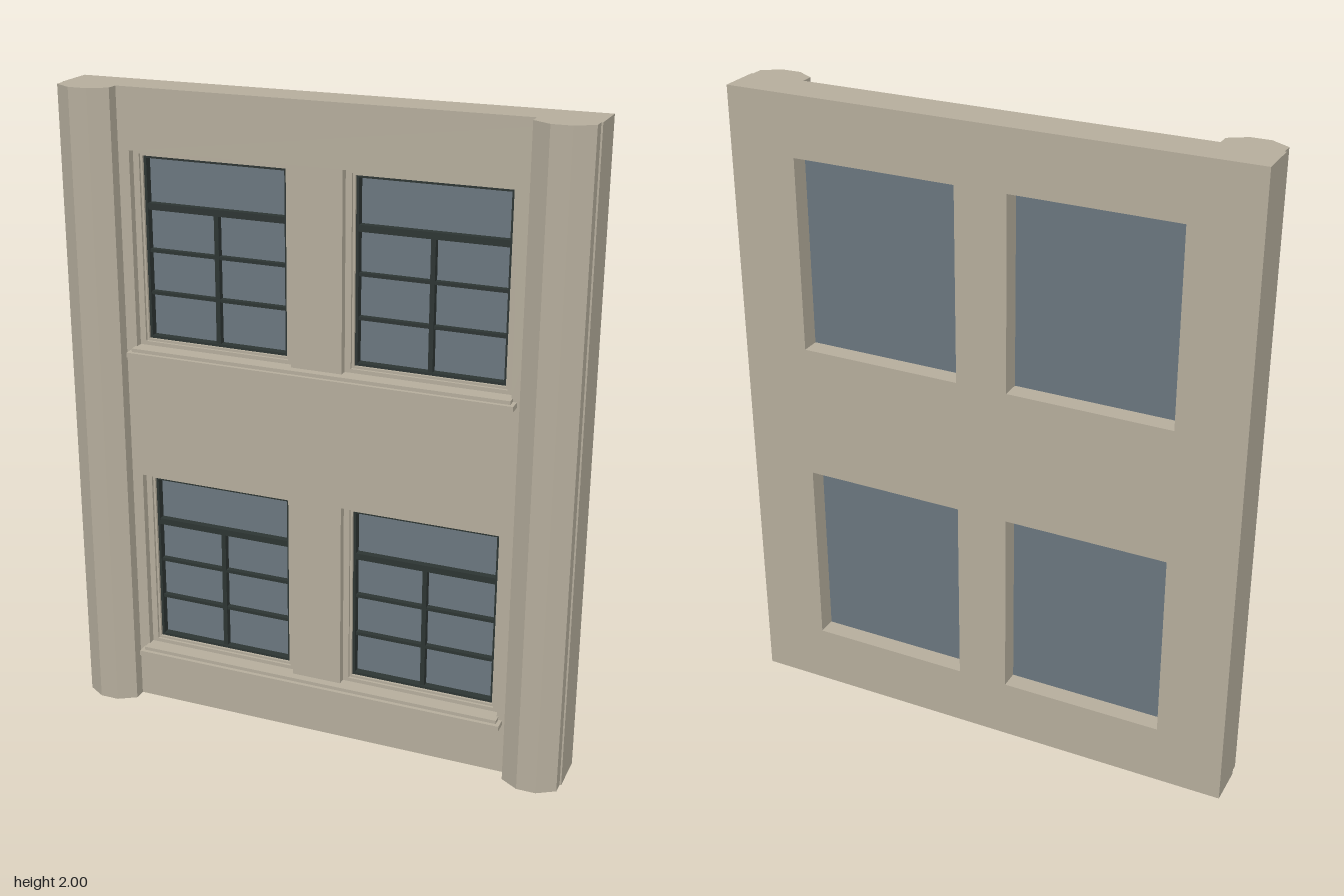
import * as THREE from 'three';

const stone = new THREE.MeshStandardMaterial({ color: 0xb6ae9d });
stone.name = 'stone';
const darkFrame = new THREE.MeshStandardMaterial({ color: 0x2d3533 });
darkFrame.name = 'dark frame';
const glassMat = new THREE.MeshStandardMaterial({ color: 0x6b777f });
glassMat.name = 'glass';

const WALL_FRONT = 0.028, WALL_BACK = -0.1;

function add(parent, name, geometry, material) {
  const mesh = new THREE.Mesh(geometry, material);
  mesh.name = name;
  parent.add(mesh);
  return mesh;
}

// Box given by its limits on each axis
function box(parent, name, material, x0, x1, y0, y1, z0, z1) {
  const mesh = add(parent, name, new THREE.BoxGeometry(x1 - x0, y1 - y0, z1 - z0), material);
  mesh.position.set((x0 + x1) / 2, (y0 + y1) / 2, (z0 + z1) / 2);
  return mesh;
}

function rect(PathType, x0, x1, y0, y1) {
  return new PathType([[x0, y0], [x1, y0], [x1, y1], [x0, y1]].map(p => new THREE.Vector2(...p)));
}

// Shape pushed out along z between two depths
function slab(shape, z0, z1) {
  const g = new THREE.ExtrudeGeometry(shape, { depth: z1 - z0, bevelEnabled: false });
  return g.translate(0, 0, z0);
}

// Rectangular ring about the origin, from half sizes
function ring(w, h, iw, ih, z0, z1) {
  const shape = rect(THREE.Shape, -w, w, -h, h);
  shape.holes.push(rect(THREE.Path, -iw, iw, -ih, ih));
  return slab(shape, z0, z1);
}

// One recessed window, centred on its opening
function makeWindow() {
  const g = new THREE.Group();
  g.name = 'window';
  add(g, 'outerSurround', ring(0.255, 0.3, 0.236, 0.288, -0.03, 0.004), stone);
  add(g, 'innerSurround', ring(0.236, 0.288, 0.229, 0.281, -0.03, -0.004), stone);
  add(g, 'sash', ring(0.229, 0.281, 0.221, 0.273, -0.036, -0.012), darkFrame);
  box(g, 'glass', glassMat, -0.254, 0.254, -0.299, 0.299, -0.043, -0.036);
  // Transom, glazing bars and mullion
  box(g, 'transom', darkFrame, -0.222, 0.222, 0.118, 0.138, -0.037, -0.014);
  for (const y of [-0.008, -0.139])
    box(g, 'glazingBar', darkFrame, -0.222, 0.222, y - 0.005, y + 0.005, -0.037, -0.018);
  box(g, 'mullion', darkFrame, -0.007, 0.007, -0.274, 0.12, -0.037, -0.016);
  return g;
}

export function createModel() {
  const model = new THREE.Group();
  model.name = 'facadePanel';
  const floors = [0.49, 1.515];

  // Wall with four openings
  const wall = rect(THREE.Shape, -0.8, 0.8, 0, 2);
  for (const y of floors)
    for (const x of [-0.335, 0.335])
      wall.holes.push(rect(THREE.Path, x - 0.255, x + 0.255, y - 0.3, y + 0.3));
  add(model, 'wall', slab(wall, WALL_BACK, WALL_FRONT), stone);

  // Chamfered pilasters at both edges
  const section = [[0.625, 0.02], [0.795, 0.02], [0.795, 0.066], [0.74, 0.1], [0.68, 0.1], [0.625, 0.066]];
  for (const side of [-1, 1]) {
    const shape = new THREE.Shape(section.map(([x, z]) => new THREE.Vector2(side * x, -z)));
    const geometry = new THREE.ExtrudeGeometry(shape, { depth: 2, bevelEnabled: false });
    add(model, side > 0 ? 'leftPilaster' : 'rightPilaster', geometry.rotateX(-Math.PI / 2), stone);
  }

  // Windows and the stepped sill under each pair
  for (const y of floors) {
    for (const x of [-0.335, 0.335]) {
      const w = makeWindow();
      w.position.set(x, y, 0);
      model.add(w);
    }
    box(model, 'sill', stone, -0.607, 0.607, y - 0.327, y - 0.311, 0.02, 0.066);
    box(model, 'sillMoulding', stone, -0.595, 0.595, y - 0.311, y - 0.3, 0.02, 0.054);
  }
  return model;
}
